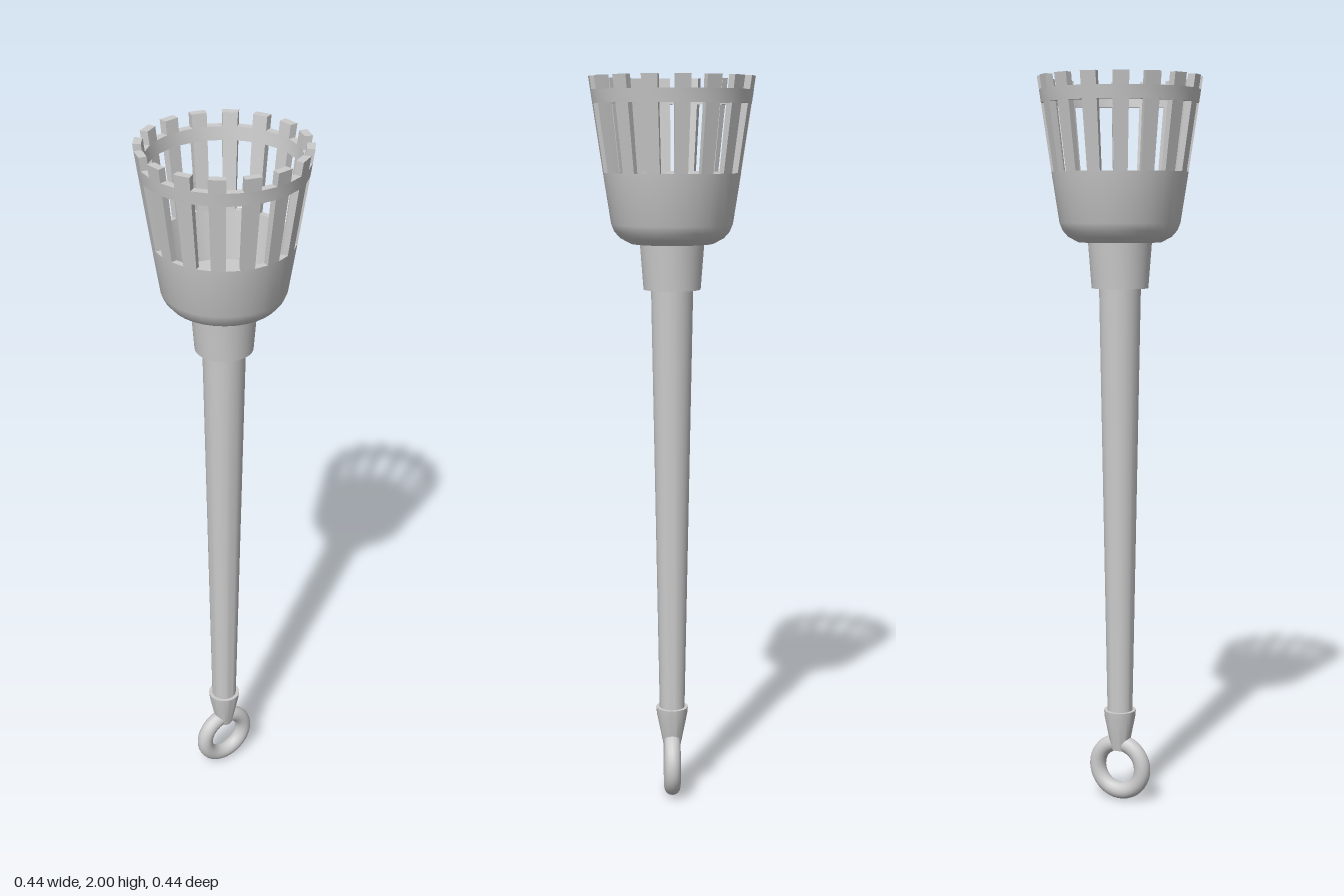
import * as THREE from 'three';
import { toCreasedNormals } from 'three/addons/utils/BufferGeometryUtils.js';

const SIDES = 32;
const STEP = (Math.PI * 2) / SIDES;
const material = new THREE.MeshStandardMaterial({ color: 0xcccccc });

// Radii of the flaring basket wall at height y
const outer = (y) => 0.184 + (y - 1.75) * 0.148;
const inner = (y) => 0.168 + (y - 1.75) * 0.128;

function mesh(name, geometry) {
  const m = new THREE.Mesh(geometry, material);
  m.name = name;
  return m;
}

// Turned part from [radius, height] pairs, with sharp edges kept
function turned(name, profile) {
  const points = profile.map(([r, y]) => new THREE.Vector2(r, y));
  return mesh(name, toCreasedNormals(new THREE.LatheGeometry(points, SIDES), 0.45));
}

// One wall block: a unit box bent onto the basket wall
function wallBlock(name, phi, y0, y1) {
  const geometry = new THREE.BoxGeometry(1, 1, 1).toNonIndexed();
  const p = geometry.attributes.position;
  for (let i = 0; i < p.count; i++) {
    const a = phi + (p.getX(i) + 0.5) * STEP;
    const y = p.getY(i) > 0 ? y1 : y0;
    const r = p.getZ(i) > 0 ? outer(y) : inner(y);
    p.setXYZ(i, r * Math.sin(a), y, r * Math.cos(a));
  }
  geometry.computeVertexNormals();
  return mesh(name, geometry);
}

export function createModel() {
  const torch = new THREE.Group();
  torch.name = 'torch';

  // Hanging ring at the foot
  const ring = mesh('hangingRing', new THREE.TorusGeometry(0.07, 0.023, 16, 40));
  ring.position.y = 0.093;
  torch.add(ring);

  // Ferrule, tapered handle and collar
  torch.add(turned('ferrule', [[0, 0.145], [0.024, 0.145], [0.043, 0.24], [0.045, 0.26], [0, 0.26]]));
  torch.add(turned('handle', [[0, 0.25], [0.035, 0.25], [0.057, 1.45], [0, 1.45]]));
  torch.add(turned('collar', [[0, 1.44], [0.077, 1.44], [0.087, 1.57], [0, 1.57]]));

  // Solid lower cup with a recessed floor
  torch.add(turned('cup', [
    [0, 1.563], [0.112, 1.563], [0.14, 1.578], [0.155, 1.595], [0.163, 1.615],
    [outer(1.75), 1.75], [inner(1.75), 1.75], [0.148, 1.62], [0, 1.62],
  ]));

  // Band joining the bars below the crown
  torch.add(turned('rimBand', [
    [inner(1.93), 1.93], [outer(1.93), 1.93], [outer(1.965), 1.965],
    [inner(1.965), 1.965], [inner(1.93), 1.93],
  ]));

  // Basket bars, each carried on above the band as a tooth
  const basket = new THREE.Group();
  basket.name = 'basket';
  for (let i = 0; i < SIDES; i += 2) {
    basket.add(wallBlock('bar', i * STEP, 1.75, 1.93));
    basket.add(wallBlock('tooth', i * STEP, 1.965, 2));
  }
  torch.add(basket);

  return torch;
}
